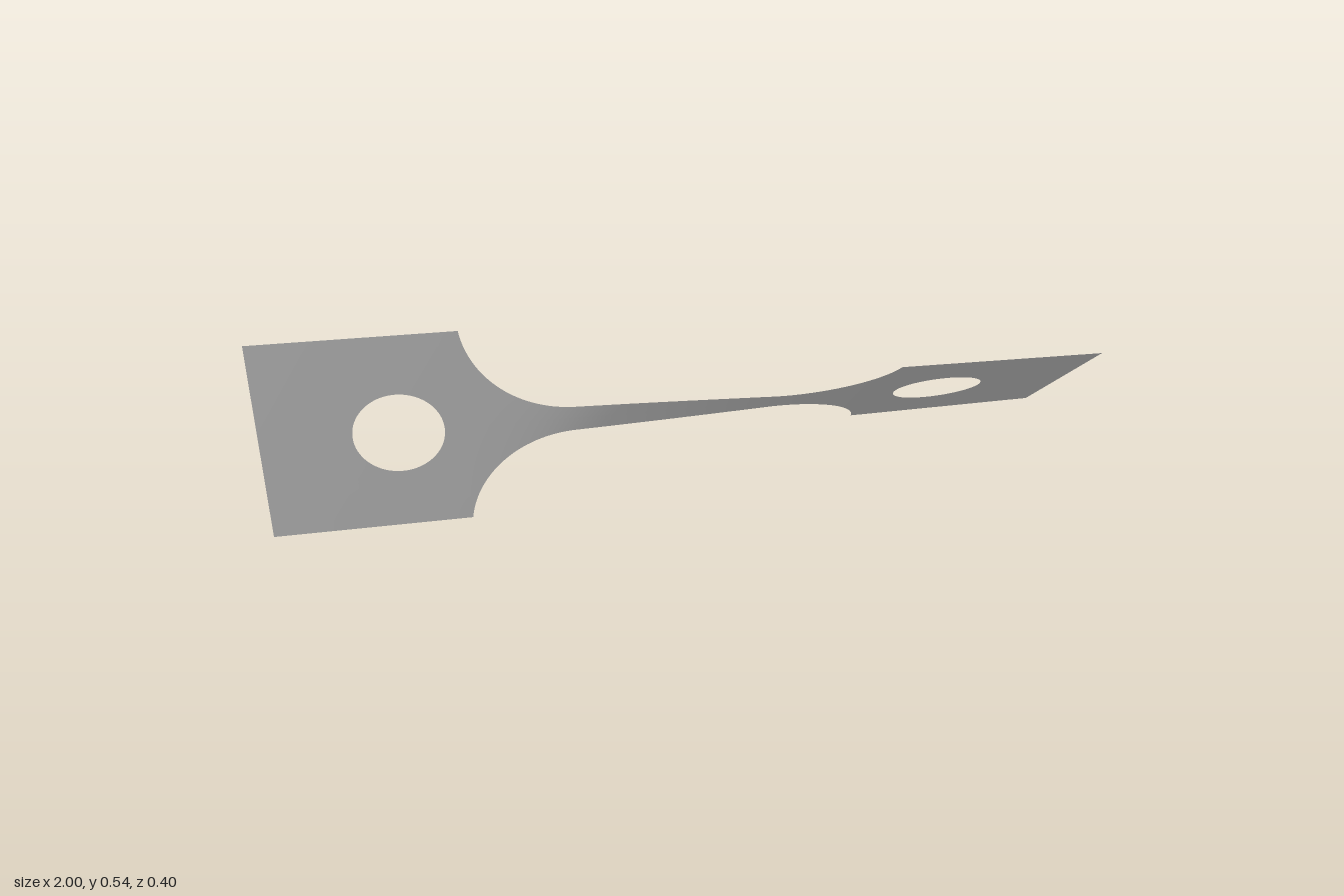
import * as THREE from 'three';
import { mergeVertices } from 'three/addons/utils/BufferGeometryUtils.js';

const PLATE = 0.271, BAR = 0.037;             // half widths of end plates and neck
const CORNER = 0.51, R = 0.27;                // fillet corner position and radius
const HOLE_X = 0.67, HOLE_R = 0.11;
const FILLET_X = CORNER - Math.sqrt(R * R - (BAR + R - PLATE) ** 2);
const TWIST = THREE.MathUtils.degToRad(47.3);
const ROWS = 8;

// Half width of the outline at x
function outer(x) {
  const a = Math.abs(x);
  if (a >= CORNER - 1e-6) return PLATE;
  if (a <= FILLET_X) return BAR;
  return BAR + R - Math.sqrt(R * R - (a - FILLET_X) ** 2);
}

// Half height of the round hole at x
function inner(x) {
  const d = Math.abs(x) - HOLE_X;
  return Math.sqrt(Math.max(0, HOLE_R * HOLE_R - d * d));
}

// Column positions, dense around the holes and fillets
function columns() {
  const half = [];
  const span = (n, f) => { for (let i = 0; i < n; i++) half.push(f(i / n)); };
  const lerp = THREE.MathUtils.lerp;
  const end = Math.asin((CORNER - FILLET_X) / R);
  span(16, t => lerp(0, FILLET_X, t));
  span(28, t => FILLET_X + R * Math.sin(end * t));
  span(4, t => lerp(CORNER, HOLE_X - HOLE_R, t));
  span(40, t => HOLE_X - HOLE_R * Math.cos(Math.PI * t));
  span(8, t => lerp(HOLE_X + HOLE_R, 1, t));
  half.push(1);
  return [...half.slice(1).reverse().map(x => -x), ...half];
}

// Twist angle per column: the narrow neck turns most, the wide plates barely
function twistAngles(xs) {
  const sums = [0];
  for (let i = 1; i < xs.length; i++) {
    const w = outer((xs[i] + xs[i - 1]) / 2);
    sums.push(sums[i - 1] + (xs[i] - xs[i - 1]) / w ** 1.6);
  }
  const total = sums[sums.length - 1];
  return sums.map(s => TWIST * s / total);
}

function twistedSheet() {
  const xs = columns(), angles = twistAngles(xs);
  const pos = [], index = [];
  // Lower and upper halves, each from the centre line or hole to the outline
  for (const side of [-1, 1]) {
    const base = pos.length / 3;
    xs.forEach((x, i) => {
      for (let j = 0; j <= ROWS; j++) {
        const y = side * THREE.MathUtils.lerp(inner(x), outer(x), j / ROWS);
        pos.push(x, PLATE + y * Math.cos(angles[i]), y * Math.sin(angles[i]));
        if (i === 0 || j === 0) continue;
        const d = base + i * (ROWS + 1) + j, c = d - 1;
        const b = d - ROWS - 1, a = b - 1;
        if (side > 0) index.push(a, c, d, a, d, b);
        else index.push(a, d, c, a, b, d);
      }
    });
  }
  let geo = new THREE.BufferGeometry();
  geo.setAttribute('position', new THREE.Float32BufferAttribute(pos, 3));
  geo.setIndex(index);
  geo = mergeVertices(geo, 1e-5);
  geo.computeVertexNormals();
  return geo;
}

export function createModel() {
  const group = new THREE.Group();
  group.name = 'twistedTestStrip';
  const metal = new THREE.MeshStandardMaterial({ color: 0xc0c0c0, side: THREE.DoubleSide });
  metal.name = 'light grey metal';
  const strip = new THREE.Mesh(twistedSheet(), metal);
  strip.name = 'strip';
  group.add(strip);
  return group;
}
